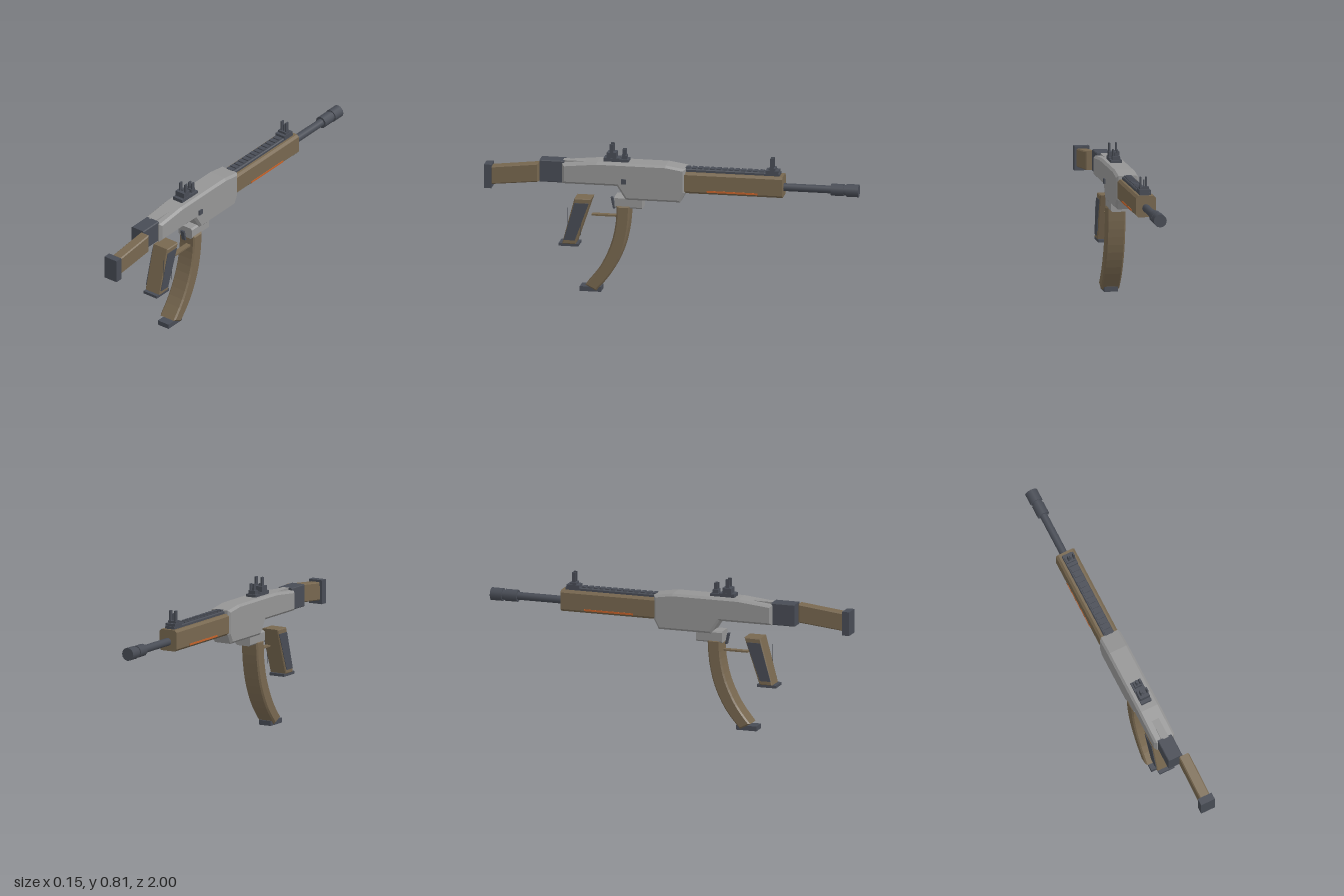
import * as THREE from 'three';

const CX = -0.016; // centre plane of the main body

export function createModel() {
  const root = new THREE.Group();
  const mat = (name, color) => {
    const m = new THREE.MeshStandardMaterial({ color });
    m.name = name;
    return m;
  };
  const grey = mat('receiver grey', 0x959595);
  const wood = mat('brown furniture', 0x77674f);
  const dark = mat('dark metal', 0x484c55);
  const orange = mat('orange accent', 0xc4622a);

  const add = (name, geo, material, parent = root) => {
    const mesh = new THREE.Mesh(geo, material);
    mesh.name = name;
    parent.add(mesh);
    return mesh;
  };
  // box from its limits
  const box = (name, m, x0, x1, y0, y1, z0, z1) => {
    const g = new THREE.BoxGeometry(x1 - x0, y1 - y0, z1 - z0);
    g.translate((x0 + x1) / 2, (y0 + y1) / 2, (z0 + z1) / 2);
    return add(name, g, m);
  };
  // side profile of [z, y] points, extruded across x with chamfered edges
  const slab = (name, m, pts, x0, x1, bevel = 0) => {
    const shape = new THREE.Shape(pts.map(p => new THREE.Vector2(p[0], p[1])));
    const g = new THREE.ExtrudeGeometry(shape, {
      depth: x1 - x0 - 2 * bevel, bevelEnabled: bevel > 0, bevelSegments: 1,
      bevelThickness: bevel, bevelSize: bevel, bevelOffset: -bevel,
    });
    g.rotateY(-Math.PI / 2);
    g.translate(x1 - bevel, 0, 0);
    return add(name, g, m);
  };
  // front outline with cut corners, extruded along z
  const bar = (name, m, x0, x1, y0, y1, z0, z1, c) => {
    const s = new THREE.Shape([
      [x0 + c, y0], [x1 - c, y0], [x1, y0 + c], [x1, y1 - c],
      [x1 - c, y1], [x0 + c, y1], [x0, y1 - c], [x0, y0 + c],
    ].map(p => new THREE.Vector2(p[0], p[1])));
    const g = new THREE.ExtrudeGeometry(s, { depth: z1 - z0, bevelEnabled: false });
    g.translate(0, 0, z0);
    return add(name, g, m);
  };
  const tube = (name, r, z0, z1, sides) => {
    const g = new THREE.CylinderGeometry(r, r, z1 - z0, sides);
    g.rotateX(Math.PI / 2);
    g.translate(CX, 0.617, (z0 + z1) / 2);
    return add(name, g, dark);
  };

  // receiver
  slab('receiver', grey, [
    [0.587, 0.59], [0.587, 0.697], [0.4, 0.716], [0.03, 0.716], [-0.075, 0.7],
    [-0.075, 0.57], [-0.048, 0.517], [0.245, 0.517], [0.292, 0.59],
  ], -0.076, 0.044, 0.012);
  box('receiverTopPlate', grey, -0.036, 0.005, 0.69, 0.709, 0.43, 0.587);
  bar('magazineWell', grey, -0.06, 0.03, 0.467, 0.53, 0.158, 0.305, 0.008);
  box('selectorButton', dark, 0.04, 0.052, 0.605, 0.632, 0.24, 0.267);
  slab('magazineRelease', dark,
    [[0.333, 0.515], [0.322, 0.515], [0.309, 0.455], [0.32, 0.455]], -0.026, -0.004);

  // stock
  bar('stockBlock', dark, -0.057, 0.025, 0.59, 0.709, 0.58, 0.71, 0.004);
  slab('stock', wood,
    [[0.71, 0.598], [0.965, 0.572], [0.965, 0.67], [0.71, 0.699]], 0.004, 0.062, 0.006);
  box('buttPlate', dark, -0.009, 0.072, 0.553, 0.682, 0.96, 1);

  // handguard with accents and top rail
  bar('handguard', wood, -0.07, 0.037, 0.568, 0.682, -0.597, -0.07, 0.012);
  for (const x of [-0.072, 0.035]) {
    box('accentStripe', orange, x, x + 0.004, 0.58, 0.59, -0.465, -0.19);
  }
  bar('topRail', dark, -0.045, 0.013, 0.675, 0.697, -0.578, -0.06, 0.004);
  for (let i = 0; i < 13; i++) {
    const z = -0.49 + i * 0.033;
    box('railTooth', dark, -0.036, 0.004, 0.695, 0.703, z, z + 0.022);
  }

  // barrel and muzzle
  tube('barrel', 0.021, -0.87, -0.59, 16);
  tube('muzzleCollar', 0.033, -0.92, -0.852, 12);
  tube('muzzleNeck', 0.028, -0.94, -0.915, 12);
  tube('muzzleCap', 0.035, -1, -0.935, 12);

  // sights: a stepped base, two ears and a post
  const sight = (name, z, y, baseLen, baseH, blockLen, blockTop, earTop, post, half) => {
    box(name + 'Base', dark, CX - 0.03, CX + 0.03, y, y + baseH, z - baseLen / 2, z + baseLen / 2);
    box(name + 'Block', dark, CX - half, CX + half, y + baseH, blockTop, z - blockLen / 2, z + blockLen / 2);
    for (const s of [-1, 1]) {
      const x = CX + 0.004 + s * (half - 0.01);
      box(name + 'Ear', dark, x - 0.004, x + 0.004, blockTop, earTop, z - 0.01, z + 0.01);
    }
    box(name + 'Post', dark, CX - 0.003, CX + 0.005, blockTop, post, z - 0.006, z + 0.006);
  };
  sight('rearSight', 0.326, 0.71, 0.085, 0.025, 0.05, 0.764, 0.81, 0.775, 0.028);
  sight('apertureSight', 0.259, 0.71, 0.05, 0.02, 0.03, 0.75, 0.784, 0.765, 0.02);
  sight('frontSight', -0.537, 0.69, 0.07, 0.02, 0.035, 0.722, 0.775, 0.76, 0.025);

  // pistol grip with side panels
  slab('grip', wood,
    [[0.43, 0.51], [0.52, 0.51], [0.587, 0.258], [0.515, 0.258]].reverse(), -0.062, 0.036, 0.005);
  for (const x of [-0.065, 0.034]) {
    slab('gripPanel', dark,
      [[0.518, 0.28], [0.578, 0.28], [0.52, 0.485], [0.443, 0.485]], x, x + 0.005);
  }
  box('gripBase', dark, -0.058, 0.031, 0.245, 0.26, 0.5, 0.606);
  box('gripRearRod', dark, 0.036, 0.039, 0.34, 0.46, 0.553, 0.556);
  box('gripFrontRod', dark, 0.036, 0.039, 0.31, 0.43, 0.484, 0.487);
  box('triggerBar', wood, -0.015, 0.015, 0.415, 0.424, 0.28, 0.432);

  // curved magazine between a front and a rear edge curve
  const edge = pts => new THREE.SplineCurve(pts.map(p => new THREE.Vector2(p[0], p[1])))
    .getPoints(12).map(p => [p.x, p.y]);
  const frontEdge = edge([[0.223, 0.48], [0.232, 0.36], [0.263, 0.23], [0.325, 0.105], [0.405, 0.008]]);
  const rearEdge = edge([[0.295, 0.48], [0.3, 0.38], [0.328, 0.26], [0.388, 0.135], [0.462, 0.038]]);
  slab('magazine', wood, [...frontEdge, ...rearEdge.reverse()], -0.064, 0.037, 0.008);
  box('magazineBase', dark, -0.05, 0.022, 0, 0.026, 0.38, 0.494);

  return root;
}
